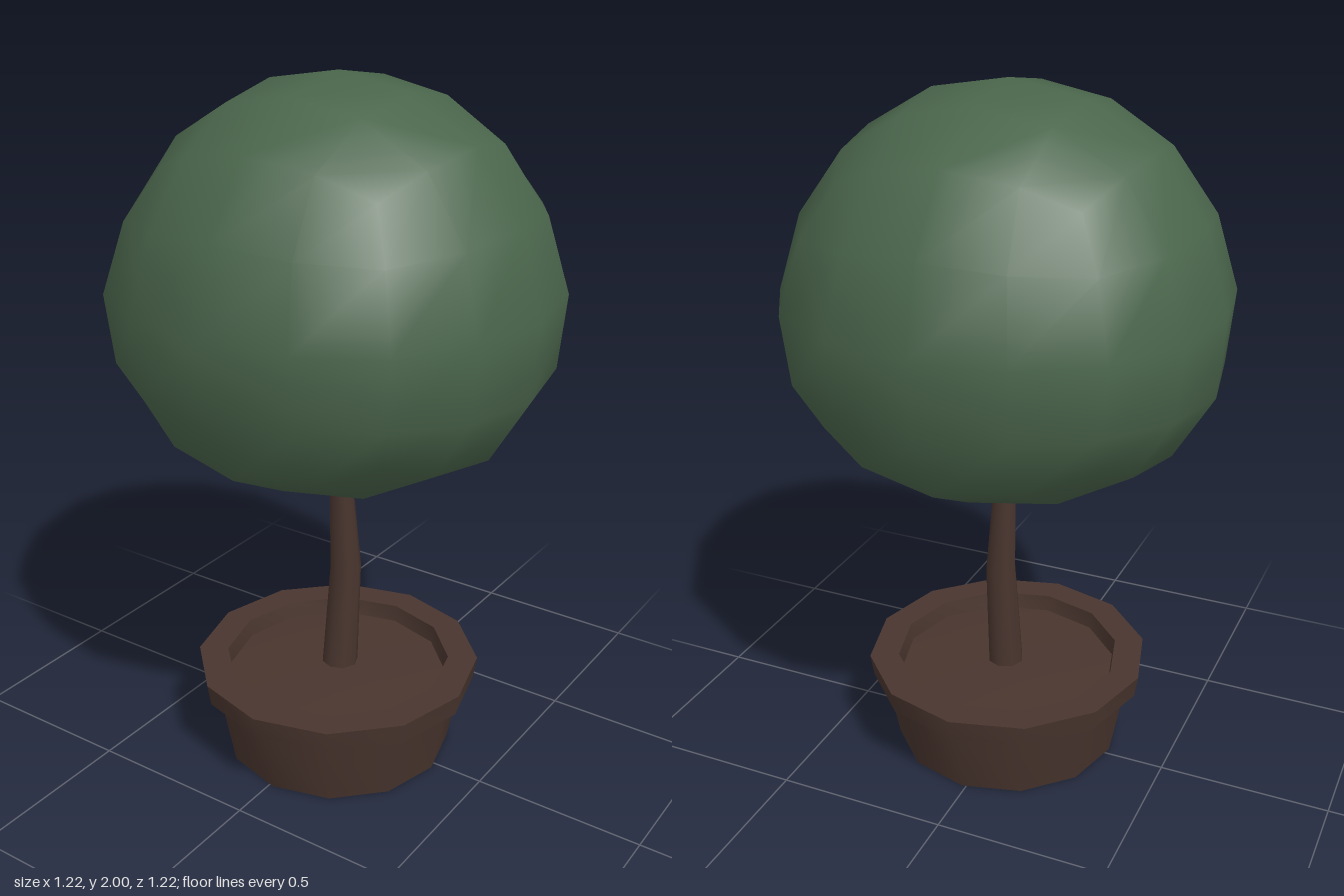
import * as THREE from 'three';
import { mergeVertices, toCreasedNormals } from 'three/addons/utils/BufferGeometryUtils.js';

const leafGreen = new THREE.MeshStandardMaterial({ color: 0x4a654b });
leafGreen.name = 'leaf green';
const darkBrown = new THREE.MeshStandardMaterial({ color: 0x49352e });
darkBrown.name = 'dark brown';

function part(name, geometry, material) {
  const mesh = new THREE.Mesh(geometry, material);
  mesh.name = name;
  return mesh;
}

// Crown: a cube grid rounded as if subdivided, then flattened and tapered upward.
// Key: number of full and half coordinates; value: where those coordinates move to.
const ROUNDED = {
  '1,0': [1, 0], '1,1': [0.933, 0.399], '1,2': [0.87, 0.371],
  '2,0': [0.732, 0], '2,1': [0.682, 0.344], '3,0': [0.58, 0],
};

function crownGeometry(radius, halfHeight, taper) {
  let geo = new THREE.BoxGeometry(2, 2, 2, 4, 4, 4);
  const pos = geo.attributes.position;
  for (let i = 0; i < pos.count; i++) {
    const c = [pos.getX(i), pos.getY(i), pos.getZ(i)];
    const full = c.filter((v) => Math.abs(v) > 0.75).length;
    const half = c.filter((v) => Math.abs(v) > 0.25).length - full;
    const [f, h] = ROUNDED[`${full},${half}`];
    const [x, y, z] = c.map((v) => Math.sign(v) * (Math.abs(v) > 0.75 ? f : Math.abs(v) > 0.25 ? h : 0));
    const dy = y * halfHeight;
    const r = radius * (1 - taper * dy);
    pos.setXYZ(i, x * r, dy, z * r);
  }
  geo.deleteAttribute('normal');
  geo.deleteAttribute('uv');
  geo = mergeVertices(geo);
  geo.computeVertexNormals();
  return geo;
}

// Trunk: slightly bent tapering rings joined into a tube.
function trunkGeometry(rings, sides) {
  const vertices = [], index = [];
  rings.forEach(([cx, y, cz, r], k) => {
    for (let i = 0; i < sides; i++) {
      const a = (i / sides) * Math.PI * 2;
      vertices.push(cx + Math.sin(a) * r, y, cz + Math.cos(a) * r);
      if (k === 0) continue;
      const j = (i + 1) % sides, lo = (k - 1) * sides, hi = k * sides;
      index.push(lo + i, lo + j, hi + j, lo + i, hi + j, hi + i);
    }
  });
  const geo = new THREE.BufferGeometry();
  geo.setAttribute('position', new THREE.Float32BufferAttribute(vertices, 3));
  geo.setIndex(index);
  geo.computeVertexNormals();
  return geo;
}

function lathe(points) {
  const profile = points.map(([r, y]) => new THREE.Vector2(r, y));
  return toCreasedNormals(new THREE.LatheGeometry(profile, 12), 0.7);
}

export function createModel() {
  const model = new THREE.Group();
  model.name = 'pottedTopiary';

  const crown = part('crown', crownGeometry(0.61, 0.5625, 0.185), leafGreen);
  crown.position.y = 1.4375;

  const trunk = part('trunk', trunkGeometry([
    [0.013, 0.24, 0.011, 0.054],
    [0.023, 0.57, -0.005, 0.046],
    [0.015, 0.88, 0.01, 0.032],
    [0.013, 1.0, 0.013, 0.03],
  ], 8), darkBrown);

  // Pot with an overhanging rim, and the soil inside it
  const pot = new THREE.Group();
  pot.name = 'pot';
  pot.position.set(0.012, 0, 0.022);
  pot.add(
    part('potBody', lathe([
      [0, 0], [0.337, 0], [0.378, 0.215], [0.41, 0.215],
      [0.42, 0.28], [0.333, 0.28], [0.325, 0.23],
    ]), darkBrown),
    part('soil', lathe([[0.325, 0.23], [0, 0.255]]), darkBrown),
  );

  model.add(crown, trunk, pot);
  return model;
}
